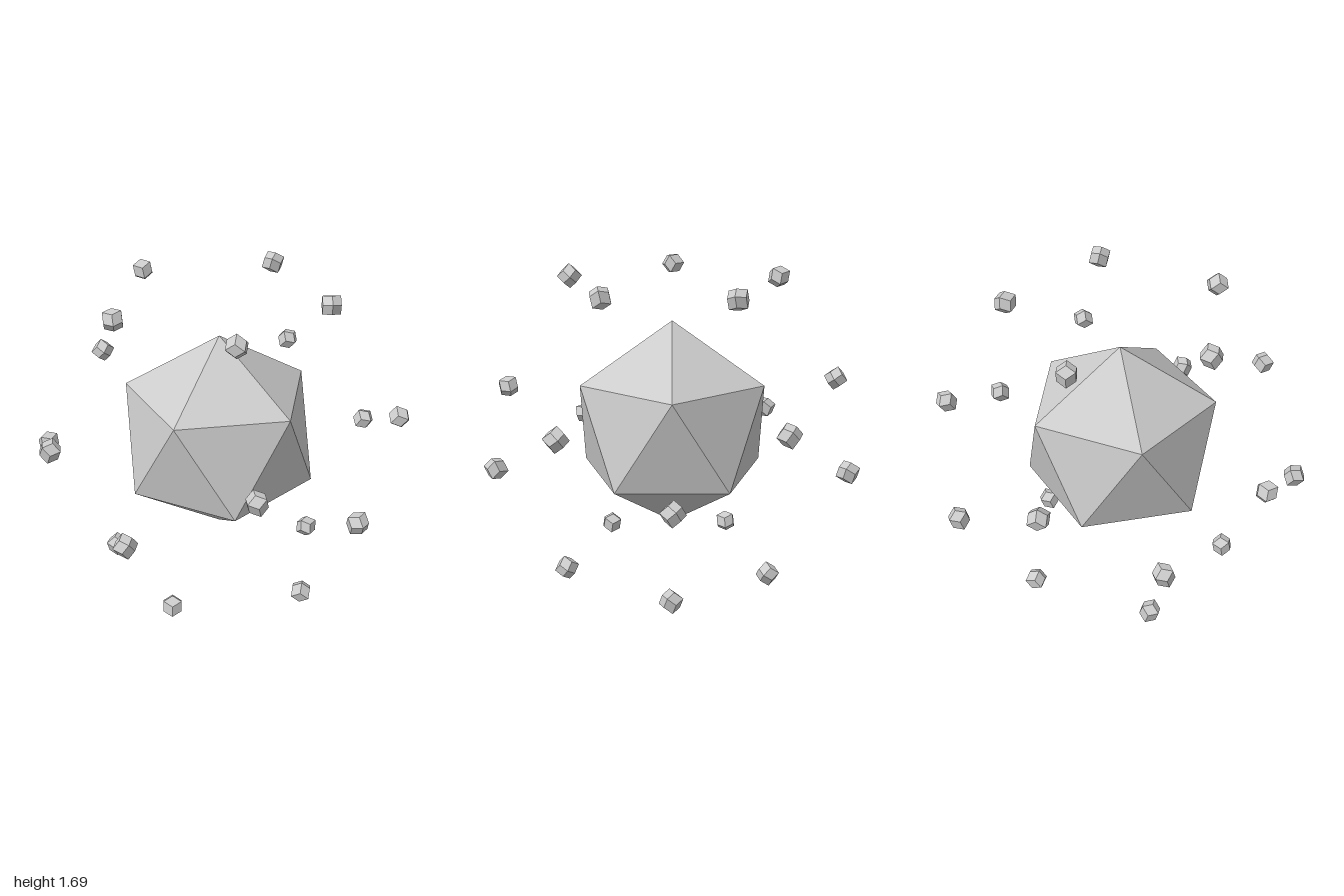
import * as THREE from 'three';
import { ConvexGeometry } from 'three/addons/geometries/ConvexGeometry.js';

const material = new THREE.MeshStandardMaterial({ color: 0xcccccc, flatShading: true });

// Five points evenly spaced round the vertical axis
function ring(radius, y, startDegrees) {
  return Array.from({ length: 5 }, (_, k) => {
    const a = THREE.MathUtils.degToRad(startDegrees + 72 * k);
    return new THREE.Vector3(Math.cos(a) * radius, y, Math.sin(a) * radius);
  });
}

// Twenty-sided die standing on a corner
function icosahedron(r) {
  const h = r / Math.sqrt(5);
  return new ConvexGeometry([
    new THREE.Vector3(0, r, 0), ...ring(2 * h, h, 0),
    ...ring(2 * h, -h, 36), new THREE.Vector3(0, -r, 0),
  ]);
}

// Twelve-sided pebble with rhombic faces
function rhombicDodecahedron(u) {
  const points = [];
  for (const s of [-1, 1]) {
    points.push(new THREE.Vector3(2 * u * s, 0, 0), new THREE.Vector3(0, 2 * u * s, 0), new THREE.Vector3(0, 0, 2 * u * s));
    for (const t of [-1, 1]) for (const w of [-1, 1]) points.push(new THREE.Vector3(s * u, t * u, w * u));
  }
  return new ConvexGeometry(points);
}

// Slightly uneven satellite positions, one outside each face of the die
const satellites = {
  top: [[0.46, 1.63, 0.34], [-0.18, 1.62, 0.54], [-0.57, 1.62, -0.01], [-0.16, 1.62, -0.57], [0.5, 1.63, -0.32]],
  upper: [[0.78, 1.02, 0.54], [-0.26, 0.99, 0.9], [-0.94, 0.99, 0], [-0.28, 1.03, -0.91], [0.75, 1.03, -0.56]],
  lower: [[0.94, 0.71, -0.01], [0.31, 0.71, 0.9], [-0.77, 0.68, 0.52], [-0.76, 0.72, -0.56], [0.31, 0.69, -0.91]],
  bottom: [[0.58, 0.09, 0], [0.21, 0.11, 0.56], [-0.45, 0.1, 0.35], [-0.48, 0.1, -0.32], [0.18, 0.06, -0.52]],
};

export function createModel() {
  const model = new THREE.Group();
  model.name = 'dieWithSatellites';

  const die = new THREE.Mesh(icosahedron(0.56), material);
  die.name = 'largeDie';
  die.position.set(0.01, 0.86, -0.005);
  model.add(die);

  const pebble = rhombicDodecahedron(0.033);
  let n = 0;
  for (const [level, positions] of Object.entries(satellites)) {
    const group = new THREE.Group();
    group.name = level + 'Satellites';
    for (const p of positions) {
      const mesh = new THREE.Mesh(pebble, material);
      mesh.name = 'satellite' + (++n);
      mesh.position.set(...p);
      mesh.rotation.set(n * 1.7, n * 2.3, n * 0.9);
      group.add(mesh);
    }
    model.add(group);
  }
  return model;
}
